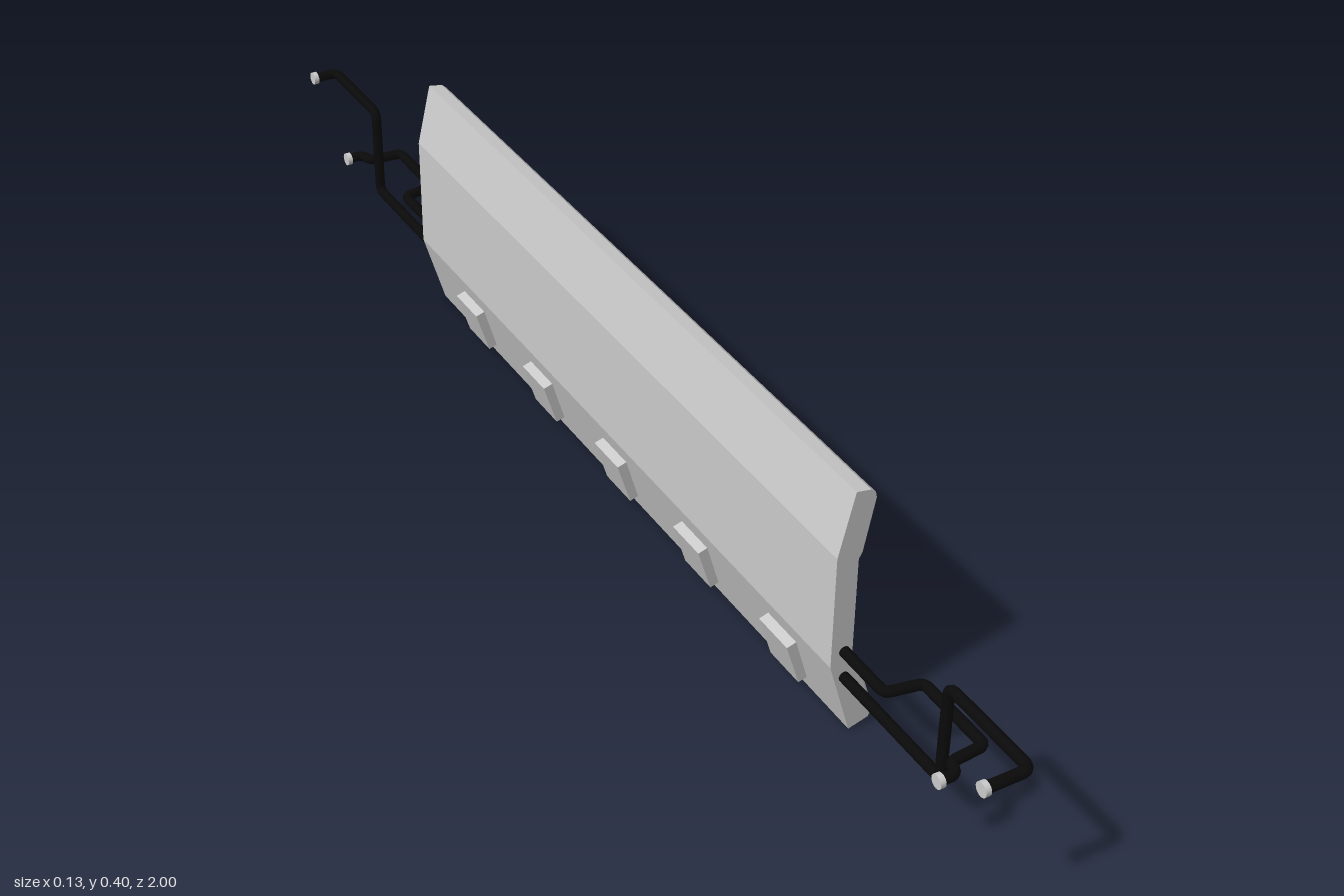
import * as THREE from 'three';

const grey = new THREE.MeshStandardMaterial({ color: 0xcccccc });
const flatGrey = new THREE.MeshStandardMaterial({ color: 0xcccccc, flatShading: true });
const black = new THREE.MeshStandardMaterial({ color: 0x0a0a0a });

function add(parent, name, geometry, material = grey) {
  const mesh = new THREE.Mesh(geometry, material);
  mesh.name = name;
  parent.add(mesh);
  return mesh;
}

// Prism of an x-y outline running from z0 to z1, with optional end chamfers
function prism(points, z0, z1, bevel = 0) {
  const shape = new THREE.Shape(points.map(([x, y]) => new THREE.Vector2(x, y)));
  const geometry = new THREE.ExtrudeGeometry(shape, {
    depth: z1 - z0 - 2 * bevel, bevelEnabled: bevel > 0, bevelSize: bevel,
    bevelOffset: -bevel, bevelThickness: bevel, bevelSegments: 1,
  });
  return geometry.translate(0, 0, z0 + bevel);
}

// Tube along a polyline with rounded corners
function pipe(points, radius, corner) {
  const pts = points.map((p) => new THREE.Vector3(...p));
  const path = new THREE.CurvePath();
  let from = pts[0];
  for (let i = 1; i < pts.length - 1; i++) {
    const towards = (p) => pts[i].clone().add(p.clone().sub(pts[i]).setLength(corner));
    const a = towards(pts[i - 1]), b = towards(pts[i + 1]);
    path.add(new THREE.LineCurve3(from, a));
    path.add(new THREE.QuadraticBezierCurve3(a, pts[i], b));
    from = b;
  }
  path.add(new THREE.LineCurve3(from, pts[pts.length - 1]));
  return new THREE.TubeGeometry(path, 110, radius, 12);
}

export function createModel() {
  const model = new THREE.Group();
  const centres = [0.48, 0.25, 0.02, -0.21, -0.44];

  // Bent main panel with a thick top lip
  add(model, 'panel', prism([
    [0.018, 0], [0.049, 0.009], [0.051, 0.018], [0.02, 0.118], [0.016, 0.13],
    [0.016, 0.288], [0.021, 0.297], [0.037, 0.378], [0.035, 0.387], [0.028, 0.393],
    [0.006, 0.397], [-0.017, 0.3], [-0.017, 0.12],
  ], -0.608, 0.608), flatGrey);

  // Row of bevelled blocks along the lower front
  const seams = [0.608, 0.388, 0.134, -0.09, -0.335, -0.608];
  for (let i = 0; i < 5; i++) {
    add(model, 'lowerBlock', prism([
      [0.022, 0.0015], [0.055, 0.011], [0.057, 0.019], [0.027, 0.118], [0.015, 0.131], [0, 0.117],
    ], seams[i + 1] + (i < 4 ? 0.002 : 0), seams[i] - (i > 0 ? 0.002 : 0), 0.003), flatGrey);
  }

  // Domes in round rims, and square pegs through the lower blocks
  const dome = new THREE.LatheGeometry(Array.from({ length: 13 }, (_, i) => {
    const a = (i / 12) * Math.PI / 2;
    return new THREE.Vector2(0.072 * Math.cos(a), 0.027 * Math.sin(a));
  }), 40);
  const rim = new THREE.LatheGeometry([[0.08, -0.004], [0.08, 0.004], [0.077, 0.007], [0.073, 0.007], [0.071, 0]]
    .map(([r, h]) => new THREE.Vector2(r, h)), 40);
  for (const z of centres) {
    const lamp = new THREE.Group();
    lamp.name = 'domeUnit';
    lamp.position.set(0.016, 0.212, z);
    lamp.rotation.z = -Math.PI / 2;
    add(lamp, 'rim', rim, flatGrey);
    add(lamp, 'dome', dome).position.y = 0.003;
    model.add(lamp);

    const peg = add(model, 'squarePeg', new THREE.BoxGeometry(0.07, 0.072, 0.07), flatGrey);
    peg.position.set(0.021, 0.063, z);
    peg.rotation.z = 0.3;
  }

  // Details on the sloping upper face
  for (const z of [0.575, -0.565]) {
    const bolt = new THREE.Group();
    bolt.name = 'bolt';
    bolt.position.set(0.033, 0.352, z);
    bolt.rotation.z = -Math.PI / 2 - 0.21;
    add(bolt, 'boltWasher', new THREE.CylinderGeometry(0.015, 0.015, 0.012, 20));
    add(bolt, 'boltHead', new THREE.CylinderGeometry(0.009, 0.009, 0.018, 6), flatGrey);
    model.add(bolt);
  }
  const strip = add(model, 'strip', new THREE.BoxGeometry(0.008, 0.008, 0.14));
  strip.position.set(0.023, 0.314, 0.305);
  strip.rotation.z = -0.21;

  // Thin raised plate with stepped lower edge behind the domes
  const plate = new THREE.Shape([[-0.59, 0.285], [-0.59, 0.235], [-0.36, 0.235], [-0.3, 0.2],
    [0.3, 0.2], [0.4, 0.25], [0.57, 0.25], [0.57, 0.285]].map(([z, y]) => new THREE.Vector2(-z, y)));
  const plateMesh = add(model, 'raisedPlate',
    new THREE.ExtrudeGeometry(plate, { depth: 0.003, bevelEnabled: false }), flatGrey);
  plateMesh.rotation.y = Math.PI / 2;
  plateMesh.position.x = 0.0155;

  // Bent pipes with capped tips at both ends
  for (const s of [1, -1]) {
    const tip = s > 0 ? -0.06 : -0.033;
    const ends = s > 0 ? [0.7, 0.845, 0.865] : [0.715, 0.855, 0.877];
    add(model, 'tallPipe', pipe([
      [0.005, 0.097, s * 0.59], [0.005, 0.097, s * 0.825], [0.005, 0.246, s * 0.825],
      [0.005, 0.246, s * 0.988], [tip, 0.246, s * 0.988],
    ], 0.008, 0.014), black);
    add(model, 'loopPipe', pipe([
      [0.003, 0.141, s * 0.59], [0.003, 0.141, s * ends[0]], [0.057, 0.141, s * (ends[0] + 0.01)],
      [0.057, 0.141, s * (ends[1] - 0.005)], [0.003, 0.141, s * ends[1]],
      [-0.004, 0.141, s * ends[2]], [-0.028, 0.141, s * ends[2]],
    ], 0.008, 0.009), black);
    for (const [x, y, z] of [[tip - 0.002, 0.246, 0.988], [-0.029, 0.141, ends[2]]]) {
      const cap = add(model, 'pipeCap', new THREE.CylinderGeometry(0.0105, 0.0105, 0.008, 16));
      cap.position.set(x, y, s * z);
      cap.rotation.z = Math.PI / 2;
    }
  }
  return model;
}
